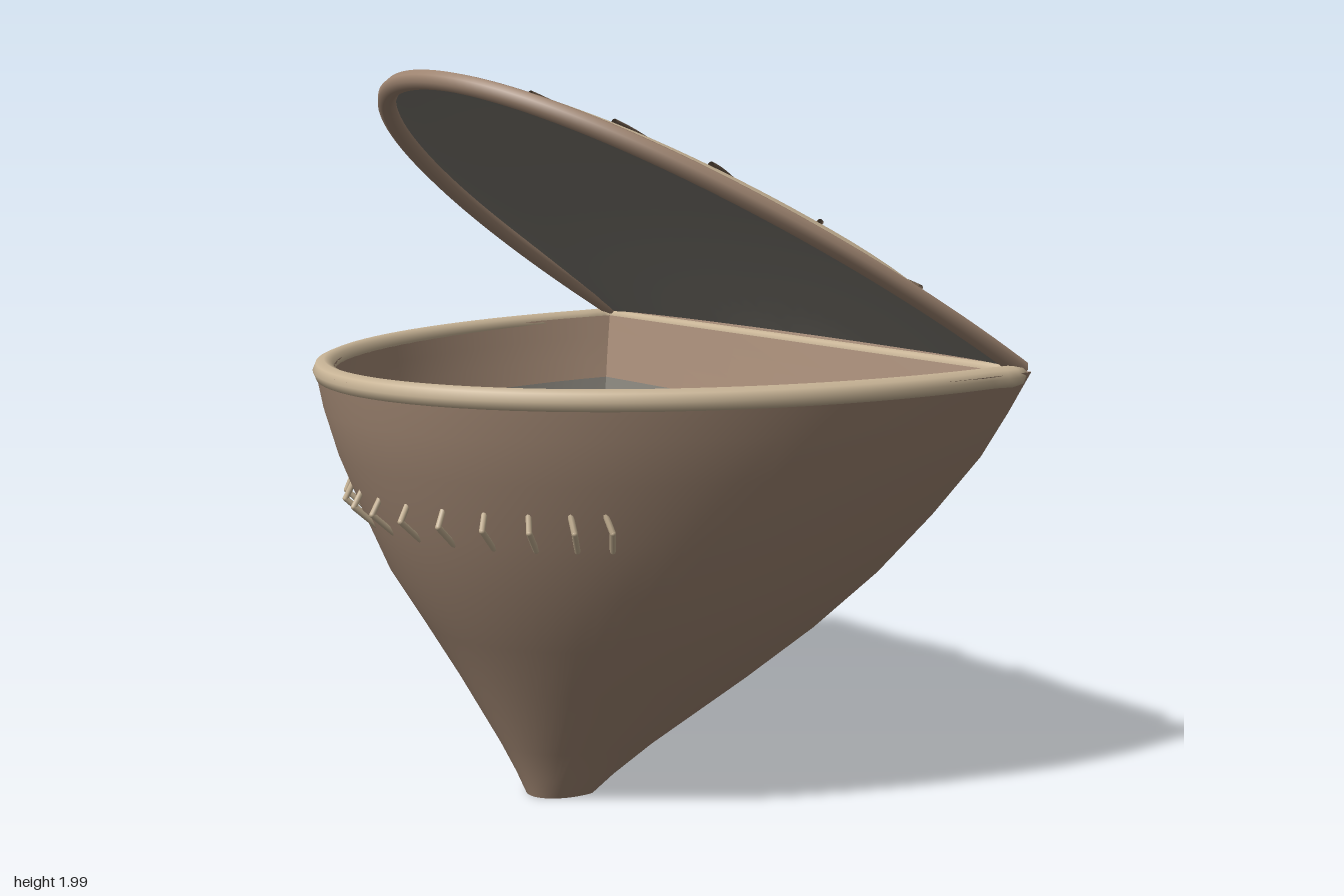
import * as THREE from 'three';

const mat = (color) => new THREE.MeshStandardMaterial({ color, roughness: 0.8, side: THREE.DoubleSide });
const BROWN = mat(0xa08672), TAN = mat(0xc8b496), DARK = mat(0x6b5a4a), GREY = mat(0x807c74);
const V = (x, y, z) => new THREE.Vector3(x, y, z);

// Body outline by height: [y, half width, front z, back z]
const ROWS = [
  [0, 0.09, 0.22, 0.07], [0.06, 0.135, 0.245, 0.03], [0.15, 0.205, 0.29, -0.05], [0.35, 0.39, 0.4, -0.23],
  [0.5, 0.52, 0.49, -0.36], [0.66, 0.64, 0.59, -0.48], [0.82, 0.735, 0.66, -0.585], [0.98, 0.82, 0.725, -0.675],
  [1.1, 0.87, 0.76, -0.72], [1.21, 0.91, 0.78, -0.76],
];
const CUT = 0.12; // the arc runs a little past the widest point

function section(y) {
  let k = 0;
  while (k < ROWS.length - 2 && y > ROWS[k + 1][0]) k++;
  const t = (y - ROWS[k][0]) / (ROWS[k + 1][0] - ROWS[k][0]);
  return ROWS[k].map((v, i) => v + (ROWS[k + 1][i] - v) * t);
}

// Point on the curved wall; s runs 0..1 from left corner over the front to right corner
function wallPoint(s, y, inset = 0) {
  const [, w, zf, zb] = section(y);
  const a = -CUT + s * (Math.PI + 2 * CUT);
  const d = (zf - zb - 2 * inset) / (1 + Math.sin(CUT));
  return V((w - inset) * Math.cos(a), y, zf - inset - d + d * Math.sin(a));
}

// Point on the flat back; s runs from right corner to left corner
const backPoint = (s, y, inset = 0) =>
  wallPoint(1, y, inset).lerp(wallPoint(0, y, inset), s);

// Smooth surface from a grid of points
function sheet(name, nu, nv, fn, material, flip = false) {
  const pos = [], index = [];
  for (let j = 0; j <= nv; j++)
    for (let i = 0; i <= nu; i++) pos.push(...fn(i / nu, j / nv).toArray());
  for (let j = 0; j < nv; j++)
    for (let i = 0; i < nu; i++) {
      const a = j * (nu + 1) + i, b = a + 1, c = a + nu + 1, d = c + 1;
      if (flip) index.push(a, b, c, b, d, c);
      else index.push(a, c, b, b, c, d);
    }
  const g = new THREE.BufferGeometry();
  g.setAttribute('position', new THREE.Float32BufferAttribute(pos, 3));
  g.setIndex(index);
  g.computeVertexNormals();
  return named(name, g, material);
}

function named(name, geometry, material) {
  const m = new THREE.Mesh(geometry, material);
  m.name = name;
  return m;
}

function tube(name, points, r, material, closed = false, tension = 0.5) {
  const curve = new THREE.CatmullRomCurve3(points, closed, 'catmullrom', tension);
  return named(name, new THREE.TubeGeometry(curve, points.length * 3, r, 8, closed), material);
}

// Round bar between two points
function rod(name, a, b, r, material) {
  const m = named(name, new THREE.CapsuleGeometry(r, a.distanceTo(b), 3, 8), material);
  m.position.copy(a).lerp(b, 0.5);
  m.quaternion.setFromUnitVectors(V(0, 1, 0), b.clone().sub(a).normalize());
  return m;
}

function buildBody() {
  const body = new THREE.Group();
  body.name = 'body';
  const rowY = (t) => ROWS[Math.round(t * (ROWS.length - 1))][0];
  const n = ROWS.length - 1;

  // outer shell
  body.add(sheet('curvedWall', 48, n, (s, t) => wallPoint(s, rowY(t)), BROWN));
  body.add(sheet('backWall', 8, n, (s, t) => backPoint(s, rowY(t)), BROWN));
  body.add(sheet('base', 24, 1, (s, t) => backPoint(0.5, 0).lerp(wallPoint(s, 0), t), BROWN));

  // inner lip, then the dark lining below it
  const lipY = (t) => 1.02 + 0.19 * t, liningY = (t) => 0.03 + 0.99 * t;
  const liningIn = (t) => 0.012 + 0.043 * t;
  body.add(sheet('innerLip', 48, 3, (s, t) => wallPoint(s, lipY(t), 0.055), BROWN, true));
  body.add(sheet('innerLipBack', 8, 3, (s, t) => backPoint(s, lipY(t), 0.055), BROWN, true));
  body.add(sheet('lining', 48, 12, (s, t) => wallPoint(s, liningY(t), liningIn(t)), GREY, true));
  body.add(sheet('liningBack', 8, 12, (s, t) => backPoint(s, liningY(t), liningIn(t)), GREY, true));
  body.add(sheet('liningFloor', 24, 1,
    (s, t) => backPoint(0.5, 0.03, 0.012).lerp(wallPoint(s, 0.03, 0.012), t), GREY, true));

  // rounded rim
  const rim = [];
  for (let i = 0; i <= 40; i++) rim.push(wallPoint(i / 40, 1.2, 0.024));
  for (let i = 1; i < 16; i++) rim.push(backPoint(i / 16, 1.2, 0.024));
  rim.forEach((p) => { p.y = 1.2; });
  body.add(tube('rim', rim, 0.03, TAN, true));

  // row of bent pegs around the front
  const onFront = (x, y) => {
    const [, w, zf, zb] = section(y), d = (zf - zb) / (1 + Math.sin(CUT));
    return V(x, y, zf - d + d * Math.sqrt(1 - (x / w) ** 2));
  };
  for (let k = -6; k <= 6; k++) {
    const x = 0.59 * Math.sin(k * 0.2), lean = 0.035 * Math.sin(k * 0.25);
    const top = onFront(x - lean * 0.6, 0.92), low = onFront(x - lean, 0.805);
    const mid = onFront(x, 0.86);
    top.z -= 0.025;
    mid.z += 0.035;
    low.z -= 0.005;
    body.add(rod('pegUpper', top, mid, 0.008, TAN), rod('pegLower', mid, low, 0.008, TAN));
  }
  return body;
}

// Lid in its own frame: z runs from the hinge to the tip, y is its thickness
const LW = 0.87, LL = 1.5, TILT = Math.PI / 6;

function domeHeight(x, z) {
  const e2 = Math.min(1, (x / LW) ** 2 + (z / LL) ** 2);
  return 0.15 * Math.sqrt(1 - e2) * Math.sin(Math.min(1, Math.max(0, z) / 0.58) * Math.PI / 2);
}

// Rib pieces on one side, seen in plan: x0, z0, x1, z1, lift at the inner end
const RIBS = [
  [0.12, -0.74, 0.77, -0.48, 0.05], [0.11, -0.69, 0.3, -0.55, 0.04], [0.32, -0.53, 0.69, -0.2, 0.005],
  [0.06, -0.65, 0.1, -0.58, 0.03], [0.35, -0.28, 0.56, 0.05, 0.005], [0.06, -0.625, 0.075, -0.6, 0.02],
  [0.28, -0.1, 0.4, 0.23, 0.005], [0.14, 0.02, 0.21, 0.35, 0.005],
];

function rib(x0, z0, x1, z1, lift) {
  const pts = [];
  for (let i = 0; i <= 6; i++) {
    const t = i / 6, x = x0 + (x1 - x0) * t, plan = z0 + (z1 - z0) * t + 0.76;
    let z = plan / Math.cos(TILT), y = 0;
    for (let k = 0; k < 6; k++) {
      y = domeHeight(x, z) + 0.003 + lift * (1 - t);
      z = (plan + y * Math.sin(TILT)) / Math.cos(TILT);
    }
    pts.push(V(x, y, z));
  }
  return tube('rib', pts, 0.008, DARK);
}

function buildLid() {
  const lid = new THREE.Group();
  lid.name = 'lid';
  const dome = (drop) => (s, t) => {
    const a = s * Math.PI, e = Math.sin(t * Math.PI / 2);
    const x = LW * e * Math.cos(a), z = LL * e * Math.sin(a);
    return V(x, domeHeight(x, z) - drop, z);
  };
  lid.add(sheet('lidDome', 64, 24, dome(0), TAN, true));
  lid.add(sheet('lidUnderside', 64, 24, dome(0.012), GREY));

  // edge band
  const edge = [];
  for (let i = 0; i <= 48; i++) {
    const a = i / 48 * Math.PI;
    edge.push(V(LW * Math.cos(a), 0, LL * Math.sin(a)));
  }
  lid.add(tube('lidEdge', edge, 0.026, BROWN));

  // fan of ribs
  for (const [x0, z0, x1, z1, lift] of RIBS)
    for (const m of [1, -1]) lid.add(rib(m * x0, z0, m * x1, z1, lift));
  lid.add(rib(0, 0.06, 0, 0.38, 0.005));

  lid.position.set(0, 1.215, -0.755);
  lid.rotation.x = -TILT;
  return lid;
}

export function createModel() {
  const model = new THREE.Group();
  model.name = 'hingedBin';
  const hinge = named('hinge', new THREE.CylinderGeometry(0.034, 0.034, 1.53, 20), BROWN);
  hinge.rotation.z = Math.PI / 2;
  hinge.position.set(0, 1.215, -0.755);
  model.add(buildBody(), buildLid(), hinge);
  return model;
}
